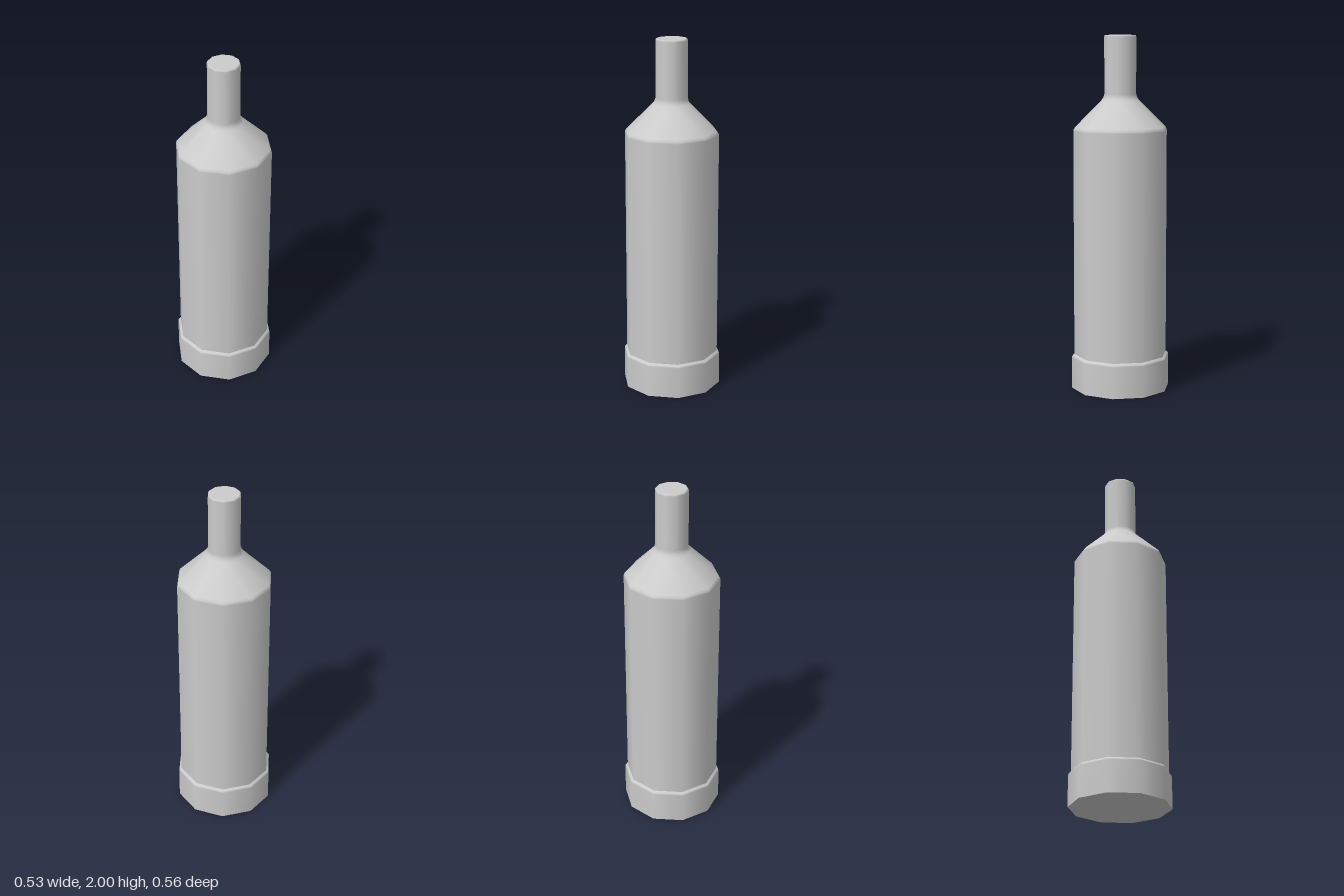
import * as THREE from 'three';

const SIDES = 10;
const grey = new THREE.MeshStandardMaterial({ color: 0xcccccc });

// Ten-sided turned surface from [radius, height] points, listed bottom to top
function turned(name, profile) {
  const points = profile.map(([r, y]) => new THREE.Vector2(r, y));
  const mesh = new THREE.Mesh(new THREE.LatheGeometry(points, SIDES), grey);
  mesh.name = name;
  return mesh;
}

export function createModel() {
  const bottle = new THREE.Group();
  bottle.name = 'bottle';
  bottle.add(
    // Flat underside, kept separate for a sharp rim
    turned('underside', [[0, 0], [0.28, 0]]),
    // Thicker foot band with a small bevel into the body
    turned('footBand', [[0.28, 0], [0.28, 0.18], [0.276, 0.188], [0.265, 0.197]]),
    // Straight body, sloped shoulder and neck with softened transitions
    turned('bodyAndNeck', [
      [0.265, 0.197], [0.265, 1.47], [0.263, 1.48], [0.256, 1.491],
      [0.105, 1.642], [0.096, 1.655], [0.09, 1.675],
      [0.09, 1.99], [0.088, 1.997], [0.083, 2],
    ]),
    // Flat closed top
    turned('topCap', [[0.083, 2], [0, 2]]),
  );
  return bottle;
}
